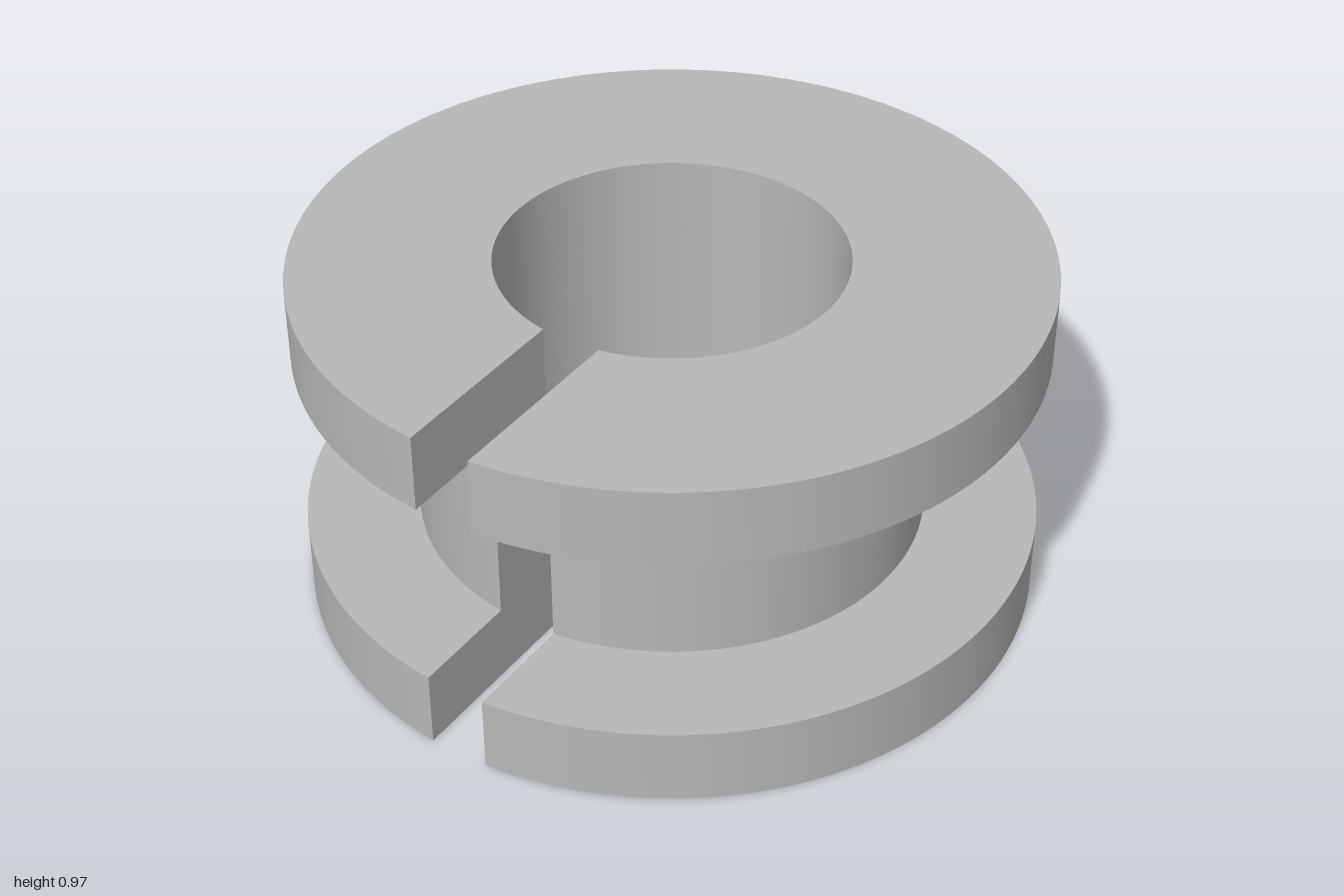
import * as THREE from 'three';
import { toCreasedNormals } from 'three/addons/utils/BufferGeometryUtils.js';

const BORE = 0.467;      // radius of the central hole
const HALF_SLOT = 0.083; // half the width of the front slot

// Slotted ring of the given outer radius, standing between two heights
function slottedRing(name, radius, bottom, top, material) {
  const outer = Math.asin(HALF_SLOT / radius);
  const inner = Math.asin(HALF_SLOT / BORE);
  const start = -Math.PI / 2, end = 1.5 * Math.PI;
  const shape = new THREE.Shape();
  shape.absarc(0, 0, radius, start + outer, end - outer, false);
  shape.absarc(0, 0, BORE, end - inner, start + inner, true);
  shape.closePath();

  const geometry = new THREE.ExtrudeGeometry(shape, {
    depth: top - bottom, bevelEnabled: false, curveSegments: 96,
  });
  geometry.rotateX(-Math.PI / 2); // stand it upright with the slot facing +z
  geometry.translate(0, bottom, 0);
  const mesh = new THREE.Mesh(toCreasedNormals(geometry, Math.PI / 6), material);
  mesh.name = name;
  return mesh;
}

export function createModel() {
  const grey = new THREE.MeshStandardMaterial({ color: 0xb8b8b8 });
  grey.name = 'plain grey';

  const group = new THREE.Group();
  group.name = 'slottedGrommet';
  group.add(
    slottedRing('lowerFlange', 1, 0, 0.215, grey),
    slottedRing('hub', 0.693, 0.215, 0.753, grey),
    slottedRing('upperFlange', 1, 0.753, 0.967, grey),
  );
  return group;
}
